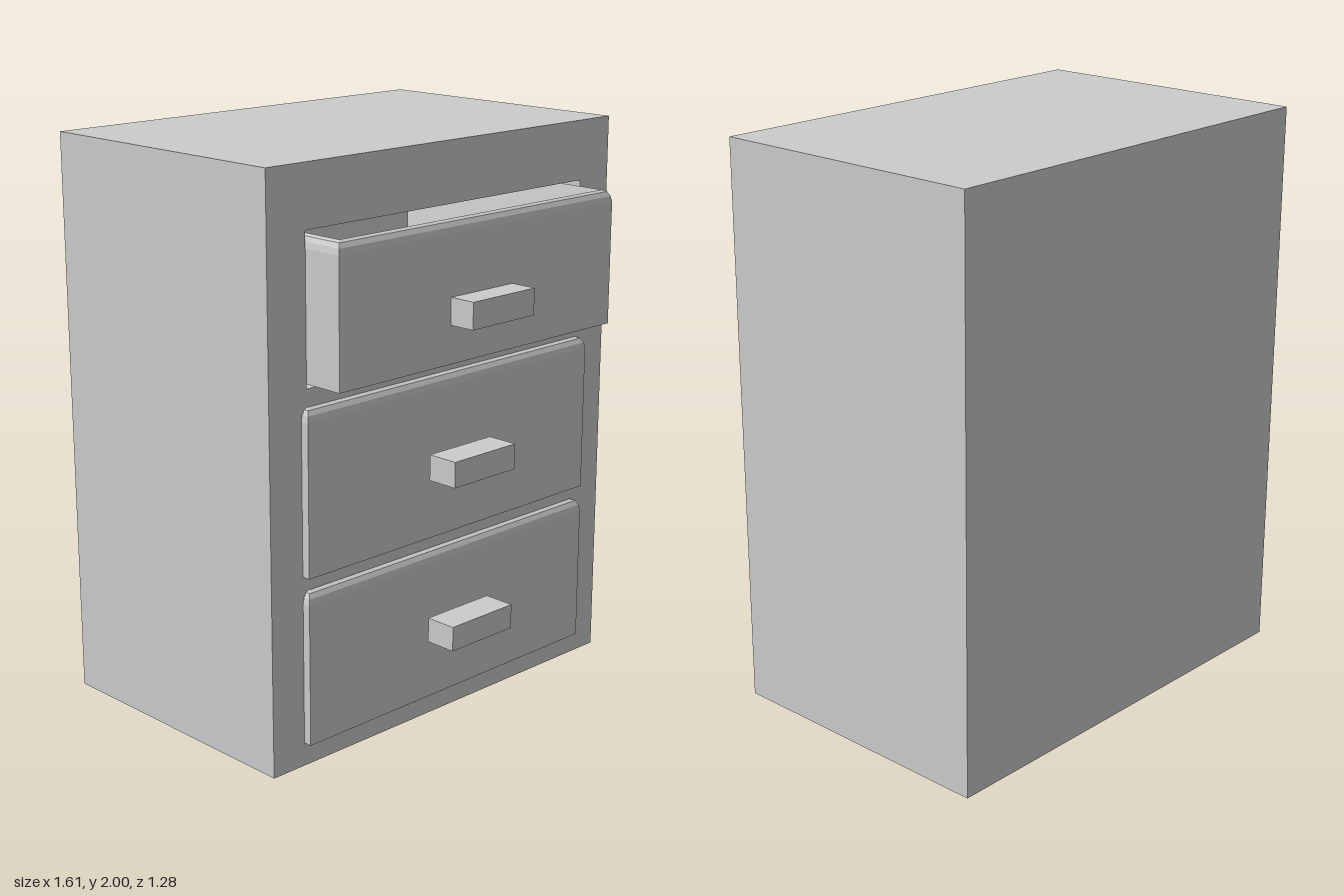
import * as THREE from 'three';

const material = new THREE.MeshStandardMaterial({ color: 0xcccccc, flatShading: true });
const FRONT = 0.395, BACK = -0.64, RECESS_BACK = -0.58;

function add(parent, name, geometry, x = 0, y = 0, z = 0) {
  const mesh = new THREE.Mesh(geometry, material);
  mesh.name = name;
  mesh.position.set(x, y, z);
  parent.add(mesh);
  return mesh;
}

function rectangle(path, x0, y0, x1, y1) {
  path.moveTo(x0, y0);
  path.lineTo(x1, y0);
  path.lineTo(x1, y1);
  path.lineTo(x0, y1);
  path.closePath();
  return path;
}

// Open tray: rectangular rings run up the outside, over the rounded rim and down to the floor
function trayGeometry({ x0, x1, y0, y1, z0, z1 }) {
  const rings = [
    [0, y0], [0, y1 - 0.042], [0.004, y1 - 0.022], [0.013, y1 - 0.006], [0.027, y1],
    [0.1, y0 + 0.08],
  ].map(([inset, y]) => [
    [x0 + inset, y, z1 - inset], [x1 - inset, y, z1 - inset],
    [x1 - inset, y, z0 + inset], [x0 + inset, y, z0 + inset],
  ]);
  const positions = [];
  const quad = (a, b, c, d) => positions.push(...a, ...b, ...c, ...a, ...c, ...d);
  for (let i = 0; i < rings.length - 1; i++) {
    for (let k = 0; k < 4; k++) {
      const n = (k + 1) % 4;
      quad(rings[i][k], rings[i][n], rings[i + 1][n], rings[i + 1][k]);
    }
  }
  quad(...rings[rings.length - 1]);      // inner floor
  quad(...[...rings[0]].reverse());      // underside
  const geometry = new THREE.BufferGeometry();
  geometry.setAttribute('position', new THREE.Float32BufferAttribute(positions, 3));
  geometry.computeVertexNormals();
  return geometry;
}

export function createModel() {
  const group = new THREE.Group();
  group.name = 'drawerCabinet';

  // Cabinet body with three drawer openings
  const body = rectangle(new THREE.Shape(), -0.803, 0, 0.803, 2);
  for (const [low, high] of [[0.062, 0.565], [0.656, 1.16], [1.287, 1.79]]) {
    body.holes.push(rectangle(new THREE.Path(), -0.645, low, 0.656, high));
  }
  add(group, 'cabinetBody',
    new THREE.ExtrudeGeometry(body, { depth: FRONT - RECESS_BACK, bevelEnabled: false }), 0, 0, RECESS_BACK);
  add(group, 'backPanel',
    new THREE.BoxGeometry(1.606, 2, RECESS_BACK - BACK), 0, 1, (BACK + RECESS_BACK) / 2);

  // Drawers, the top one pulled out, each with a bar handle
  const drawers = [
    { name: 'bottomDrawer', x0: -0.668, x1: 0.677, y0: 0.082, y1: 0.615, z0: -0.55, z1: 0.425, handle: [0.305, 0.392, 0.455, 0.57] },
    { name: 'middleDrawer', x0: -0.668, x1: 0.677, y0: 0.665, y1: 1.228, z0: -0.55, z1: 0.425, handle: [0.885, 0.975, 0.455, 0.57] },
    { name: 'topDrawer', x0: -0.643, x1: 0.653, y0: 1.302, y1: 1.775, z0: -0.45, z1: 0.543, handle: [1.433, 1.525, 0.525, 0.64] },
  ];
  for (const drawer of drawers) {
    const part = new THREE.Group();
    part.name = drawer.name;
    add(part, 'drawerTray', trayGeometry(drawer));
    const [y0, y1, z0, z1] = drawer.handle;
    add(part, 'handle', new THREE.BoxGeometry(0.294, y1 - y0, z1 - z0), -0.002, (y0 + y1) / 2, (z0 + z1) / 2);
    group.add(part);
  }
  return group;
}
